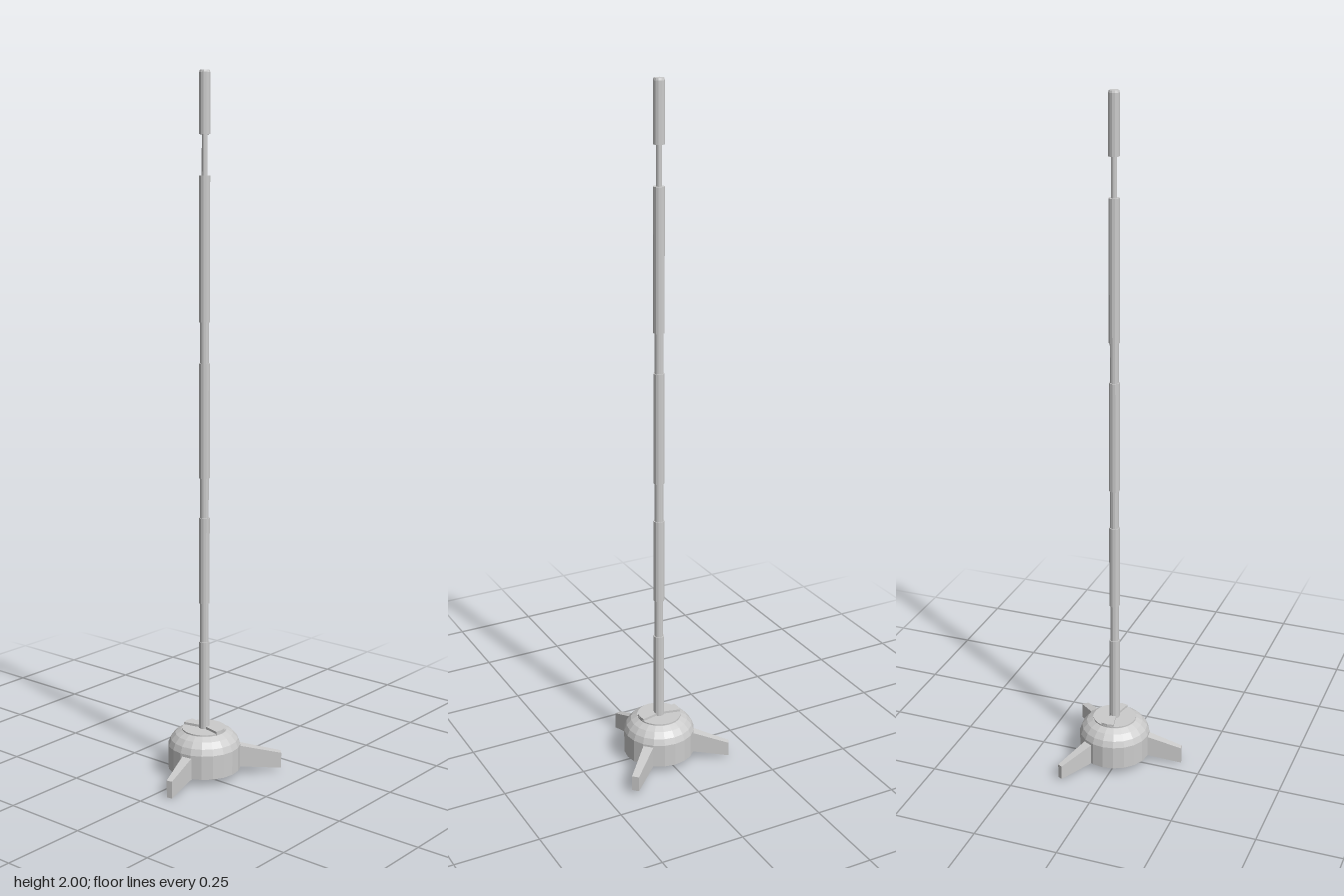
import * as THREE from 'three';

const material = new THREE.MeshStandardMaterial({ color: 0xcccccc, flatShading: true });

function addMesh(parent, name, geometry) {
  const mesh = new THREE.Mesh(geometry, material);
  mesh.name = name;
  parent.add(mesh);
  return mesh;
}

// Solid of revolution from [radius, height] pairs, bottom to top
function turned(points, sides) {
  return new THREE.LatheGeometry(points.map(([r, y]) => new THREE.Vector2(r, y)), sides);
}

// Tapered leg running along +x, from inside the hub to its tip
function legGeometry({ length, tipWidth, tipBottom, tipTop }) {
  const root = 0.085;
  const geometry = new THREE.BoxGeometry(1, 1, 1);
  const p = geometry.attributes.position;
  for (let i = 0; i < p.count; i++) {
    const outer = p.getX(i) > 0;
    const upper = p.getY(i) > 0;
    const width = outer ? tipWidth : 0.032;
    const y = outer ? (upper ? tipTop : tipBottom) : (upper ? 0.09 : 0.024);
    p.setXYZ(i, outer ? length : root, y, p.getZ(i) * width);
  }
  geometry.computeVertexNormals();
  return geometry;
}

export function createModel() {
  const group = new THREE.Group();
  const stand = new THREE.Group();
  stand.name = 'stand';
  stand.position.set(0.008, 0, -0.018);
  group.add(stand);

  // Domed hub
  addMesh(stand, 'hub', turned([
    [0, 0.022], [0.105, 0.022], [0.105, 0.092], [0.098, 0.11],
    [0.084, 0.126], [0.066, 0.136], [0, 0.136],
  ], 20));

  // Round cover plate
  addMesh(stand, 'coverPlate', turned([[0, 0.134], [0.064, 0.134], [0.064, 0.14], [0, 0.14]], 32));

  // Pair of flared ribs across the cover plate
  const rib = new THREE.Shape();
  rib.moveTo(0.008, -0.007);
  rib.lineTo(0.061, -0.019);
  rib.lineTo(0.064, 0);
  rib.lineTo(0.061, 0.019);
  rib.lineTo(0.008, 0.007);
  rib.closePath();
  const ribGeometry = new THREE.ExtrudeGeometry(rib, { depth: 0.011, bevelEnabled: false });
  ribGeometry.rotateX(-Math.PI / 2);
  for (const [name, turn] of [['leftRib', 0], ['rightRib', Math.PI]]) {
    const mesh = addMesh(stand, name, ribGeometry);
    mesh.position.y = 0.136;
    mesh.rotation.y = turn;
  }

  // Pole: thick sleeves with slimmer necks between them
  const sleeve = 0.0155;
  const profile = [[0, 0.13], [sleeve, 0.13]];
  const necks = [[0.4, 0.515, 0.0125], [0.765, 0.88, 0.0125], [1.205, 1.32, 0.0125], [1.72, 1.83, 0.008]];
  for (const [low, high, radius] of necks) {
    profile.push([sleeve, low], [radius, low], [radius, high], [sleeve, high]);
  }
  profile.push([sleeve, 1.994], [0.0135, 2], [0, 2]);
  addMesh(stand, 'pole', turned(profile, 12));

  // Three splayed legs
  const legs = [
    { name: 'backLeftLeg', angle: 45, length: 0.225, tipWidth: 0.021, tipBottom: 0.012, tipTop: 0.058 },
    { name: 'backRightLeg', angle: 149.5, length: 0.209, tipWidth: 0.016, tipBottom: 0.007, tipTop: 0.05 },
    { name: 'frontLeg', angle: -78.7, length: 0.204, tipWidth: 0.017, tipBottom: 0, tipTop: 0.05 },
  ];
  for (const leg of legs) {
    addMesh(stand, leg.name, legGeometry(leg)).rotation.y = THREE.MathUtils.degToRad(leg.angle);
  }

  return group;
}
